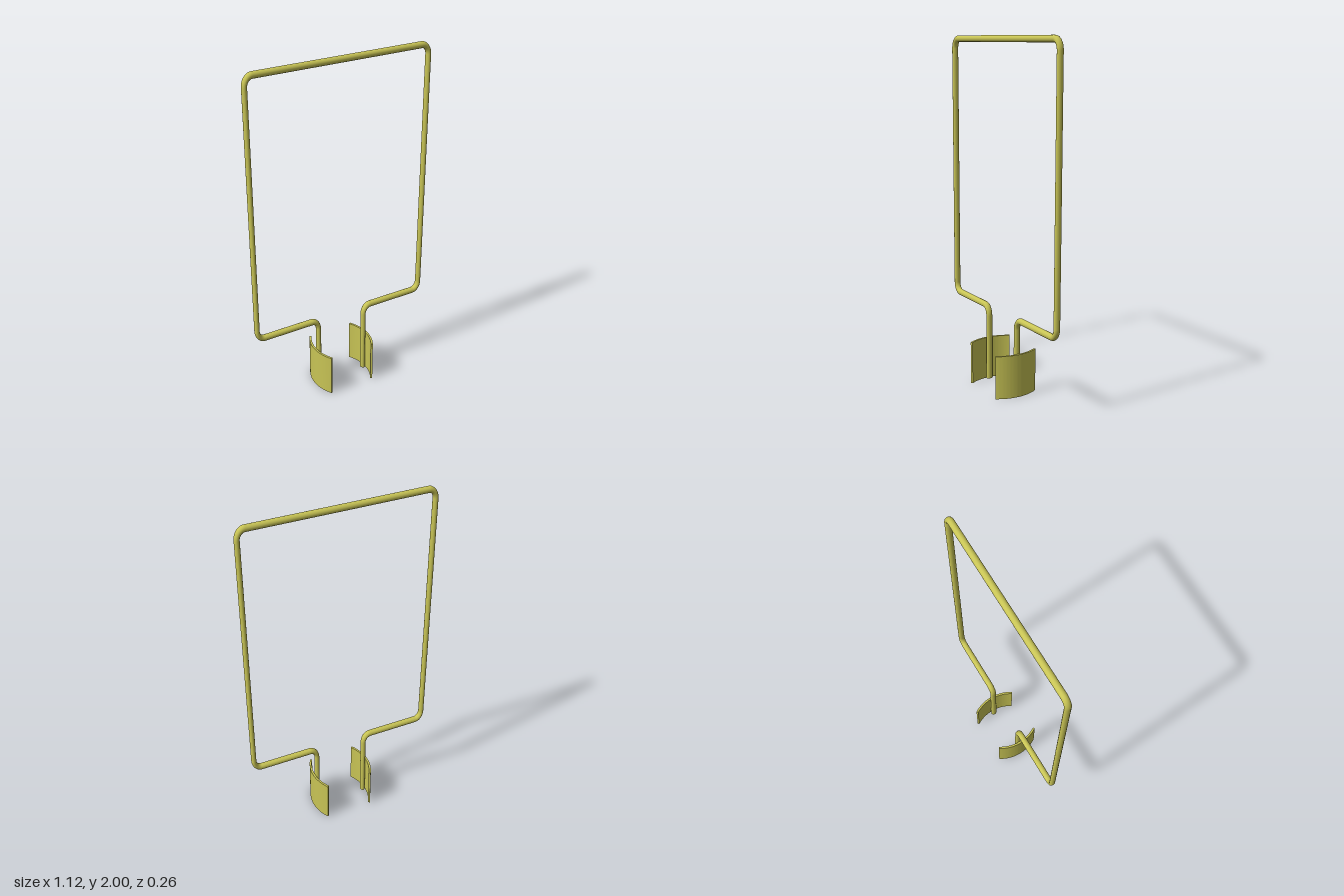
import * as THREE from 'three';
import { mergeGeometries, toCreasedNormals } from 'three/addons/utils/BufferGeometryUtils.js';

const SQUASH = 0.77; // the rod is slightly narrower in x than in y
const ROD = 0.0185, BEND = 0.057;

// Rod along a polyline with rounded corners and capped ends
function bentRod(points) {
  const parts = [];
  const add = (curve, n) => parts.push(new THREE.TubeGeometry(curve, n, ROD, 20));
  let from = points[0];
  for (let i = 1; i < points.length; i++) {
    const corner = points[i];
    if (i === points.length - 1) { add(new THREE.LineCurve3(from, corner), 1); break; }
    const dirIn = corner.clone().sub(points[i - 1]).normalize();
    const dirOut = points[i + 1].clone().sub(corner).normalize();
    const a = corner.clone().addScaledVector(dirIn, -BEND);
    const b = corner.clone().addScaledVector(dirOut, BEND);
    const k = BEND * 0.5523;
    add(new THREE.LineCurve3(from, a), 1);
    add(new THREE.CubicBezierCurve3(a, a.clone().addScaledVector(dirIn, k),
      b.clone().addScaledVector(dirOut, -k), b), 10);
    from = b;
  }
  for (const p of [points[0], points[points.length - 1]]) {
    parts.push(new THREE.CircleGeometry(ROD, 20).rotateX(Math.PI / 2).translate(p.x, p.y, p.z));
  }
  return mergeGeometries(parts);
}

// Curved plate, bulging towards +x
function clipPlate() {
  const outer = 0.248, inner = 0.236, half = 0.56;
  const shape = new THREE.Shape();
  shape.absarc(0, 0, outer, -half, half, false);
  shape.absarc(0, 0, inner, half, -half, true);
  shape.closePath();
  const geo = new THREE.ExtrudeGeometry(shape, { depth: 0.25, bevelEnabled: false, curveSegments: 20 });
  geo.rotateX(-Math.PI / 2).translate(0.18 - outer, 0, 0);
  return toCreasedNormals(geo, 0.5);
}

export function createModel() {
  const model = new THREE.Group();
  model.name = 'wireLoop';
  const material = new THREE.MeshStandardMaterial({ color: 0xc8c455 });

  // Rectangular loop with two legs
  const half = [[0.153, 0.003], [0.153, 0.446], [0.544, 0.446], [0.544, 1.981]];
  const toPoint = (s) => ([x, y]) => new THREE.Vector3(s * x / SQUASH, y, 0);
  const path = [...half.map(toPoint(1)), ...half.map(toPoint(-1)).reverse()];
  const loop = new THREE.Mesh(bentRod(path), material);
  loop.name = 'loopRod';
  loop.scale.x = SQUASH;
  model.add(loop);

  // Curved plates at the feet of the legs
  const plate = clipPlate();
  for (const [name, turn] of [['leftClip', 0], ['rightClip', Math.PI]]) {
    const clip = new THREE.Mesh(plate, material);
    clip.name = name;
    clip.rotation.y = turn;
    model.add(clip);
  }
  return model;
}
